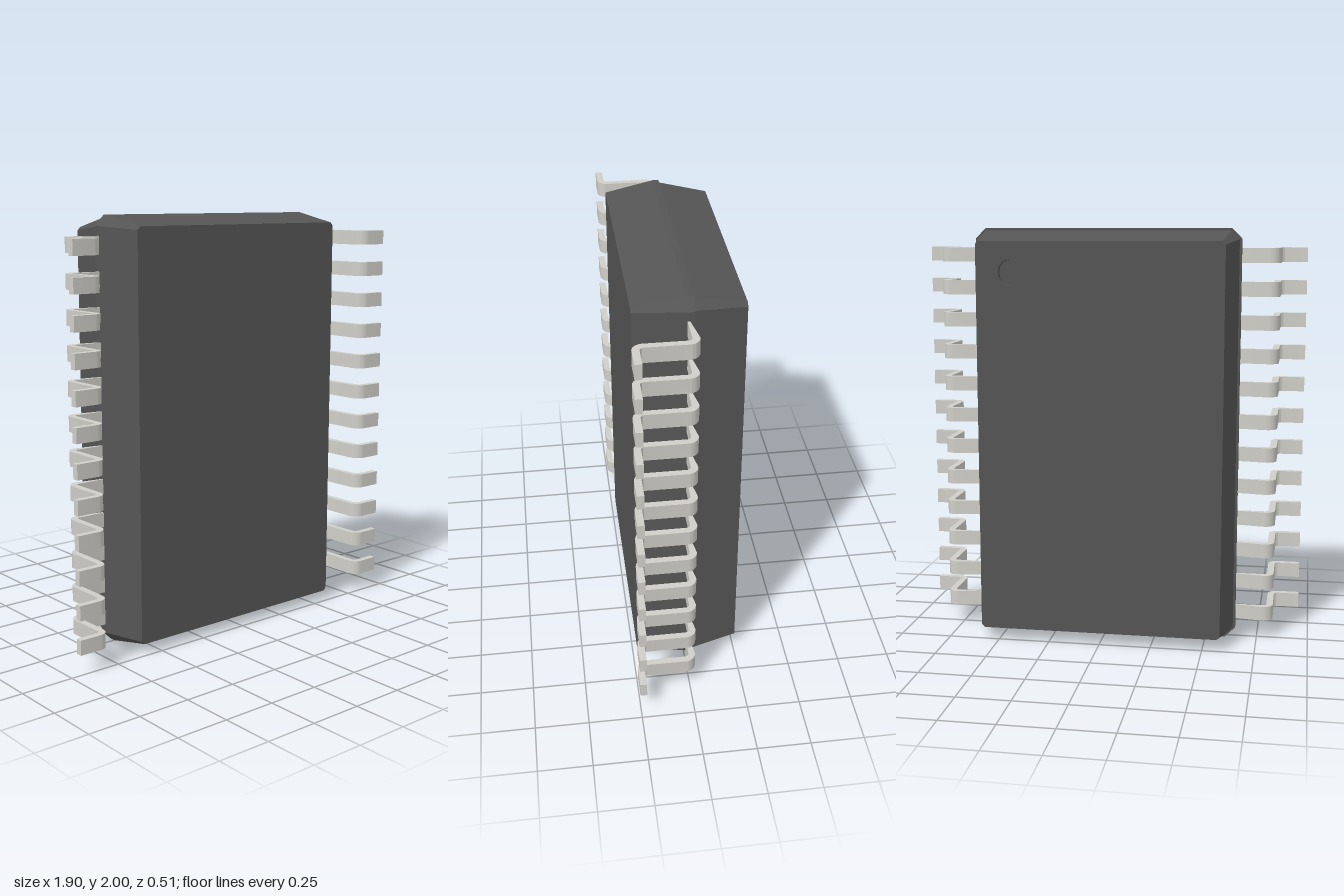
import * as THREE from 'three';
import { toCreasedNormals } from 'three/addons/utils/BufferGeometryUtils.js';

const PINS = 12, PITCH = 0.1587, PIN_WIDTH = 0.07;
const BACK = { hx: 0.585, hy: 0.94, c: 0.015, z: -0.258 };
const DIMPLE = { x: 0.415, y: 0.795, r: 0.062, depth: 0.03 };

// Chamfered rectangle, counter-clockwise seen from +z
function outline({ hx, hy, c }) {
  return [
    [hx, -hy + c], [hx, hy - c], [hx - c, hy], [-hx + c, hy],
    [-hx, hy - c], [-hx, -hy + c], [-hx + c, -hy], [hx - c, -hy],
  ].map(([x, y]) => new THREE.Vector2(x, y));
}

// Flat-faced skin through the sections (ordered back to front), plus the front cap
function shellGeometry(sections) {
  const pos = [];
  const loops = sections.map(s => outline(s).map(p => [p.x, p.y, s.z]));
  for (let k = 0; k < loops.length - 1; k++) {
    const a = loops[k], b = loops[k + 1];
    for (let i = 0; i < 8; i++) {
      const j = (i + 1) % 8;
      pos.push(...a[i], ...a[j], ...b[j], ...a[i], ...b[j], ...b[i]);
    }
  }
  const front = loops[loops.length - 1];
  for (let i = 1; i < 7; i++) pos.push(...front[0], ...front[i], ...front[i + 1]);
  const geo = new THREE.BufferGeometry();
  geo.setAttribute('position', new THREE.Float32BufferAttribute(pos, 3));
  geo.computeVertexNormals();
  return geo;
}

// Gull-wing lead: bent strip profile in x/z, extruded along y
function leadGeometry() {
  const s = new THREE.Shape();
  const R = 0.05, r = 0.018, H = Math.PI / 2;
  s.moveTo(0.58, -0.03);
  s.absarc(0.777, 0.02, R, -H, 0, false);
  s.absarc(0.845, 0.202, r, Math.PI, H, true);
  s.lineTo(0.95, 0.22);
  s.lineTo(0.95, 0.252);
  s.absarc(0.845, 0.202, R, H, Math.PI, false);
  s.absarc(0.777, 0.02, r, 0, -H, true);
  s.lineTo(0.58, 0.002);
  const geo = new THREE.ExtrudeGeometry(s, { depth: PIN_WIDTH, bevelEnabled: false, curveSegments: 8 });
  geo.translate(0, 0, -PIN_WIDTH / 2);
  geo.rotateX(Math.PI / 2);
  return toCreasedNormals(geo, 0.6);
}

export function createModel() {
  const model = new THREE.Group();
  model.name = 'chipPackage';
  const plastic = new THREE.MeshStandardMaterial({ color: 0x555555 });
  const metal = new THREE.MeshStandardMaterial({ color: 0xcfcec8 });

  const add = (parent, name, geo, mat) => {
    const mesh = new THREE.Mesh(geo, mat);
    mesh.name = name;
    parent.add(mesh);
    return mesh;
  };

  // Moulded body: two tapered halves with a small step at the parting line
  const body = new THREE.Group();
  body.name = 'body';
  body.position.y = 1;
  model.add(body);
  add(body, 'bodyShell', shellGeometry([
    BACK,
    { hx: 0.634, hy: 0.988, c: 0.04, z: -0.03 },
    { hx: 0.645, hy: 1, c: 0.05, z: -0.03 },
    { hx: 0.645, hy: 1, c: 0.05, z: 0 },
    { hx: 0.6, hy: 0.953, c: 0.015, z: 0.23 },
  ]), plastic);

  // Back face with the marker hole; turned half round about y to face -z
  const face = new THREE.Shape(outline(BACK));
  face.holes.push(new THREE.Path().absarc(-DIMPLE.x, DIMPLE.y, DIMPLE.r, 0, Math.PI * 2, true));
  const backFace = add(body, 'backFace', new THREE.ShapeGeometry(face, 32), plastic);
  backFace.rotation.y = Math.PI;
  backFace.position.z = BACK.z;

  // Sunken round marker: inward-facing wall and floor
  const wallMaterial = plastic.clone();
  wallMaterial.side = THREE.DoubleSide;
  const wall = add(body, 'markerWall',
    new THREE.CylinderGeometry(DIMPLE.r, DIMPLE.r, DIMPLE.depth, 64, 1, true), wallMaterial);
  wall.rotation.x = Math.PI / 2;
  wall.position.set(DIMPLE.x, DIMPLE.y, BACK.z + DIMPLE.depth / 2);
  const floor = add(body, 'markerFloor', new THREE.CircleGeometry(DIMPLE.r, 64), plastic);
  floor.rotation.y = Math.PI;
  floor.position.set(DIMPLE.x, DIMPLE.y, BACK.z + DIMPLE.depth);

  // Two rows of leads; the right row is the left one turned half round about z
  const leadGeo = leadGeometry();
  for (const side of ['left', 'right']) {
    const row = new THREE.Group();
    row.name = side + 'Leads';
    row.position.y = 1;
    if (side === 'right') row.rotation.z = Math.PI;
    for (let i = 0; i < PINS; i++) {
      add(row, side + 'Lead' + (i + 1), leadGeo, metal).position.y = (i - (PINS - 1) / 2) * PITCH;
    }
    model.add(row);
  }
  return model;
}
